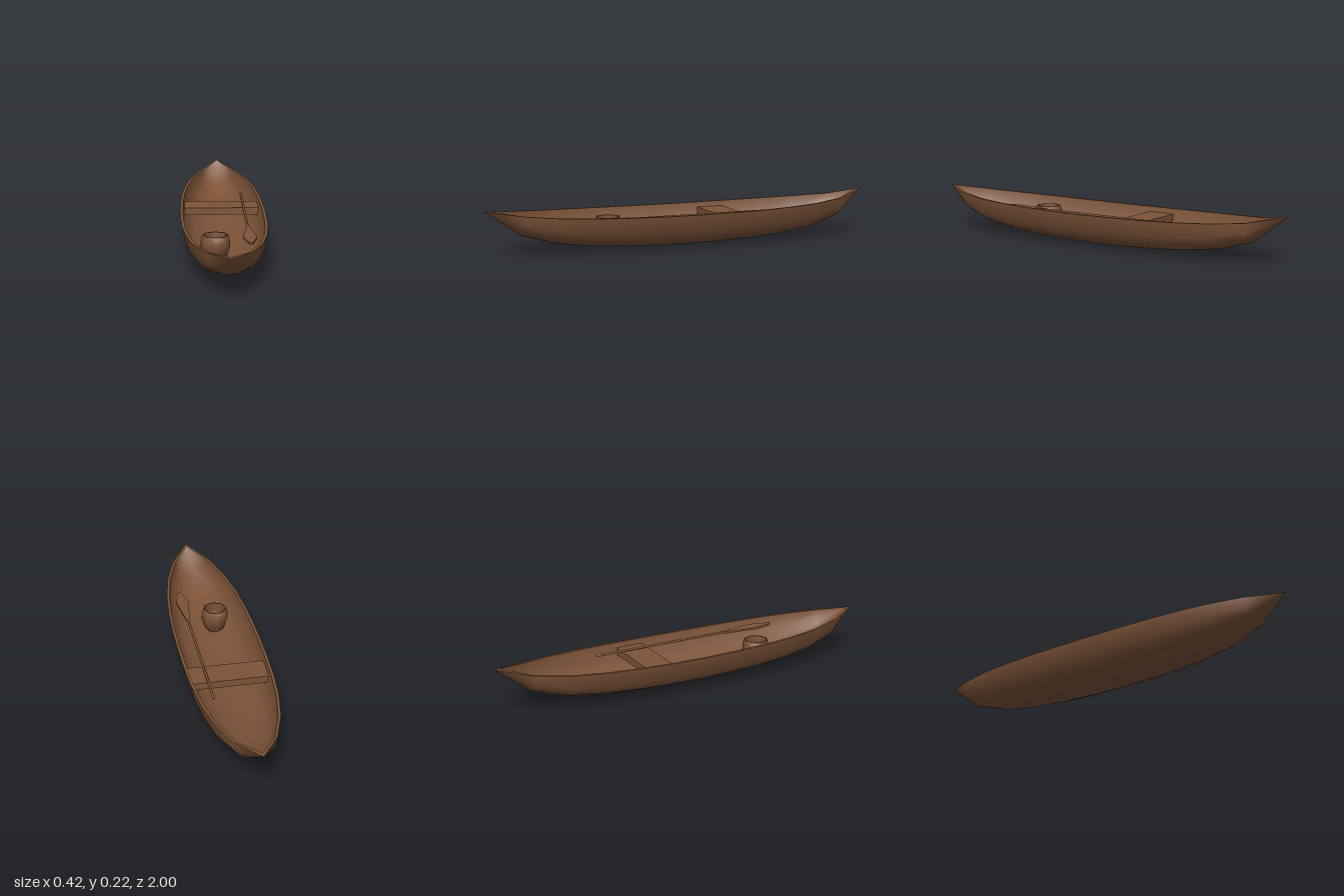
import * as THREE from 'three';
import { mergeVertices } from 'three/addons/utils/BufferGeometryUtils.js';

// Stations from bow to stern: z, half width, keel height, gunwale height
const HALF = [[0.833, 0.1, 0.092, 0.194], [0.667, 0.155, 0.042, 0.183], [0.5, 0.185, 0.02, 0.177],
  [0.333, 0.201, 0.008, 0.173], [0.167, 0.208, 0.002, 0.171]];
const STATIONS = [
  [-1, 0, 0.225, 0.225],
  ...HALF.map(([z, w, b, t]) => [-z, w, b, t]),
  [0, 0.211, 0, 0.17],
  ...HALF.slice().reverse(),
  [1, 0, 0.213, 0.213],
];
// Normalised half section, gunwale to keel
const SECTION = [[1, 1], [0.93, 0.54], [0.71, 0.25], [0.39, 0.07], [0, 0]];
const FULL = [...SECTION, ...SECTION.slice(0, 4).reverse().map(([x, y]) => [-x, y])];

// Rings of the hull skin, optionally moved inwards
function hullRings(inset) {
  return STATIONS.map(([z, w, b, t]) => {
    const tip = w === 0;
    const width = tip ? 0 : w - inset;
    const keel = tip ? b : b + inset;
    const zz = tip ? z * (1 - inset * 2) : z;
    return FULL.map(([x, y]) => [x * width, keel + (t - keel) * y, zz]);
  });
}

// Skin a list of equal rings
function loft(rings, flip) {
  const n = rings[0].length, index = [];
  for (let i = 0; i < rings.length - 1; i++) {
    for (let j = 0; j < n - 1; j++) {
      const a = i * n + j, b = a + n, c = a + 1, d = b + 1;
      if (flip) index.push(a, c, b, b, c, d);
      else index.push(a, b, c, b, d, c);
    }
  }
  const geo = new THREE.BufferGeometry();
  geo.setAttribute('position', new THREE.Float32BufferAttribute(rings.flat(2), 3));
  geo.setIndex(index);
  const merged = mergeVertices(geo, 1e-5);
  merged.computeVertexNormals();
  return merged;
}

export function createModel() {
  const model = new THREE.Group();
  model.name = 'canoe';
  const wood = new THREE.MeshStandardMaterial({ name: 'brown wood', color: 0x7c5338 });
  const add = (name, geo, parent = model, x = 0, y = 0, z = 0) => {
    const mesh = new THREE.Mesh(geo, wood);
    mesh.name = name;
    mesh.position.set(x, y, z);
    parent.add(mesh);
    return mesh;
  };

  // Hull: outer skin, inner skin and the gunwale strips between them
  const hull = new THREE.Group();
  hull.name = 'hull';
  model.add(hull);
  const outer = hullRings(0), inner = hullRings(0.014), last = FULL.length - 1;
  add('outerHull', loft(outer, false), hull);
  add('innerHull', loft(inner, true), hull);
  add('leftGunwale', loft(outer.map((r, i) => [r[0], inner[i][0]]), true), hull);
  add('rightGunwale', loft(outer.map((r, i) => [inner[i][last], r[last]]), true), hull);

  // Plank seat
  add('seat', new THREE.BoxGeometry(0.376, 0.036, 0.14), model, 0, 0.128, -0.22);

  // Hollow eight-sided pot
  const pot = [[0, 0], [0.034, 0], [0.056, 0.034], [0.07, 0.08], [0.068, 0.105], [0.062, 0.133],
    [0.053, 0.133], [0.058, 0.1], [0.056, 0.075], [0.04, 0.03], [0, 0.016]];
  add('pot', new THREE.LatheGeometry(pot.map(p => new THREE.Vector2(...p)), 8), model, -0.048, 0.015, 0.38);

  // Paddle resting across the seat
  const paddle = new THREE.Group();
  paddle.name = 'paddle';
  paddle.position.set(0.11, 0.155, 0);
  model.add(paddle);
  add('shaft', new THREE.CylinderGeometry(0.006, 0.006, 0.7, 8).rotateX(Math.PI / 2), paddle, 0, 0, -0.06);
  const grip = add('grip', new THREE.SphereGeometry(1, 8, 6), paddle, 0, 0, -0.415);
  grip.scale.set(0.008, 0.007, 0.028);
  const side = [[0.007, 0.27], [0.02, 0.36], [0.032, 0.46], [0.008, 0.56]];
  const outline = [...side, ...side.slice().reverse().map(([x, z]) => [-x, z])];
  const blade = new THREE.ExtrudeGeometry(
    new THREE.Shape(outline.map(p => new THREE.Vector2(...p))), { depth: 0.01, bevelEnabled: false });
  add('blade', blade.rotateX(Math.PI / 2), paddle, 0, 0.005, 0);

  return model;
}
